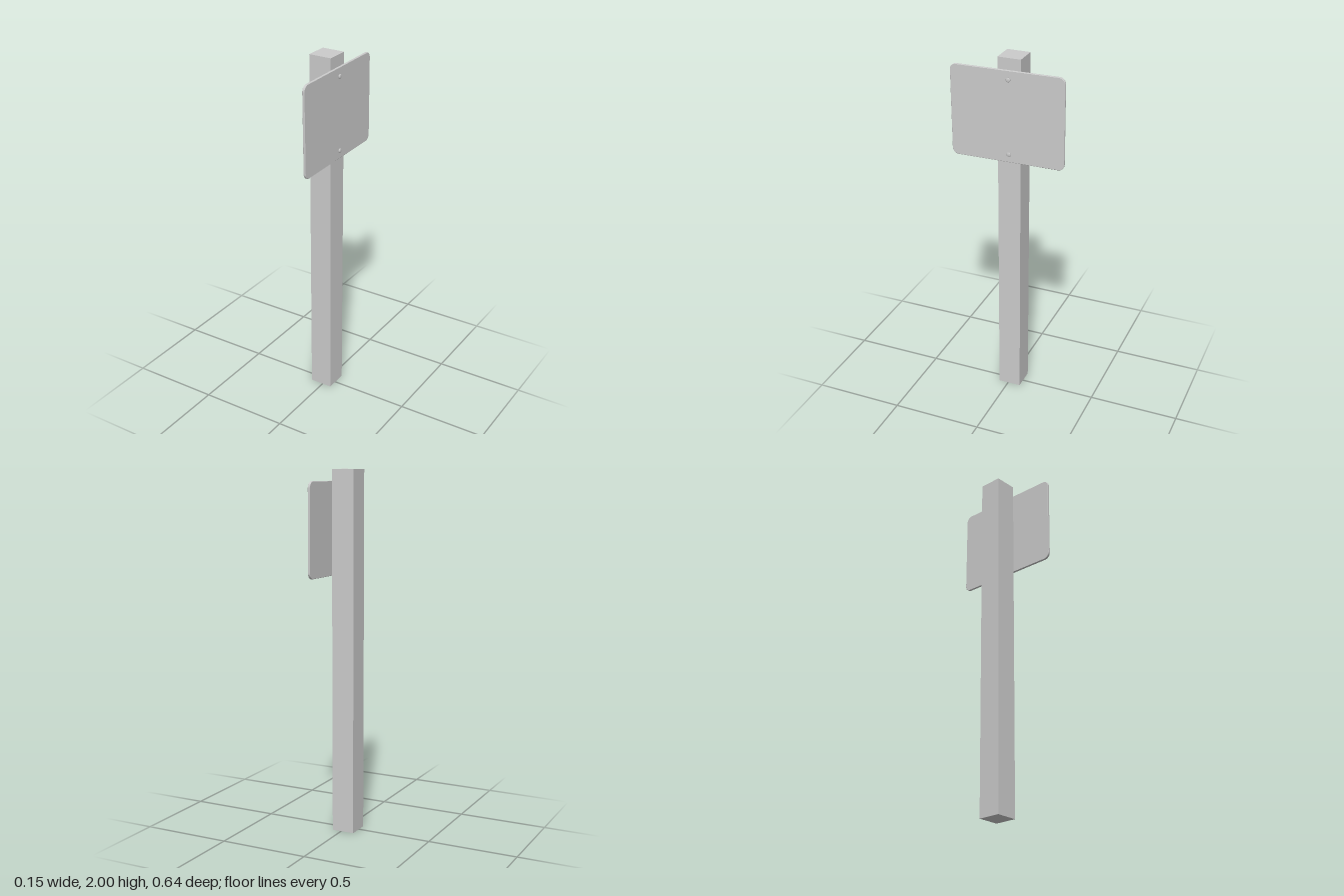
import * as THREE from 'three';

const grey = new THREE.MeshStandardMaterial({ color: 0xcccccc });

function roundedRect(w, h, r) {
  const s = new THREE.Shape();
  const x = w / 2 - r, y = h / 2 - r;
  s.absarc(x, y, r, 0, Math.PI / 2);
  s.absarc(-x, y, r, Math.PI / 2, Math.PI);
  s.absarc(-x, -y, r, Math.PI, Math.PI * 1.5);
  s.absarc(x, -y, r, Math.PI * 1.5, Math.PI * 2);
  s.closePath();
  return s;
}

export function createModel() {
  const model = new THREE.Group();
  const add = (name, geometry, x, y, z, parent = model) => {
    const mesh = new THREE.Mesh(geometry, grey);
    mesh.name = name;
    mesh.position.set(x, y, z);
    parent.add(mesh);
    return mesh;
  };

  // Square post
  add('post', new THREE.BoxGeometry(0.128, 2, 0.128), -0.011, 1, -0.009);

  // Sign, hung very slightly askew on the +x face of the post
  const sign = new THREE.Group();
  sign.name = 'sign';
  sign.position.set(0.053, 1.686, -0.001);
  sign.rotation.x = 0.009;
  model.add(sign);

  // Thin plate with rounded corners and a softened front edge
  const bevel = 0.002;
  const plate = new THREE.ExtrudeGeometry(roundedRect(0.628, 0.5, 0.032), {
    depth: 0.009, bevelEnabled: true, bevelThickness: bevel,
    bevelSize: bevel, bevelSegments: 1, curveSegments: 6,
  });
  plate.translate(0, 0, bevel);
  plate.rotateY(Math.PI / 2);
  add('plate', plate, 0, 0, 0, sign);

  // Bolts with domed heads, above and below the centre
  const profile = [[0, -0.012], [0.006, -0.012], [0.006, 0.012], [0.012, 0.012],
    [0.012, 0.018], [0.009, 0.02], [0, 0.0205]].map(([r, y]) => new THREE.Vector2(r, y));
  const bolt = new THREE.LatheGeometry(profile, 16);
  bolt.rotateZ(-Math.PI / 2);
  for (const [name, y] of [['upperBolt', 0.204], ['lowerBolt', -0.206]]) {
    add(name, bolt, 0, y, -0.01, sign);
  }

  return model;
}
